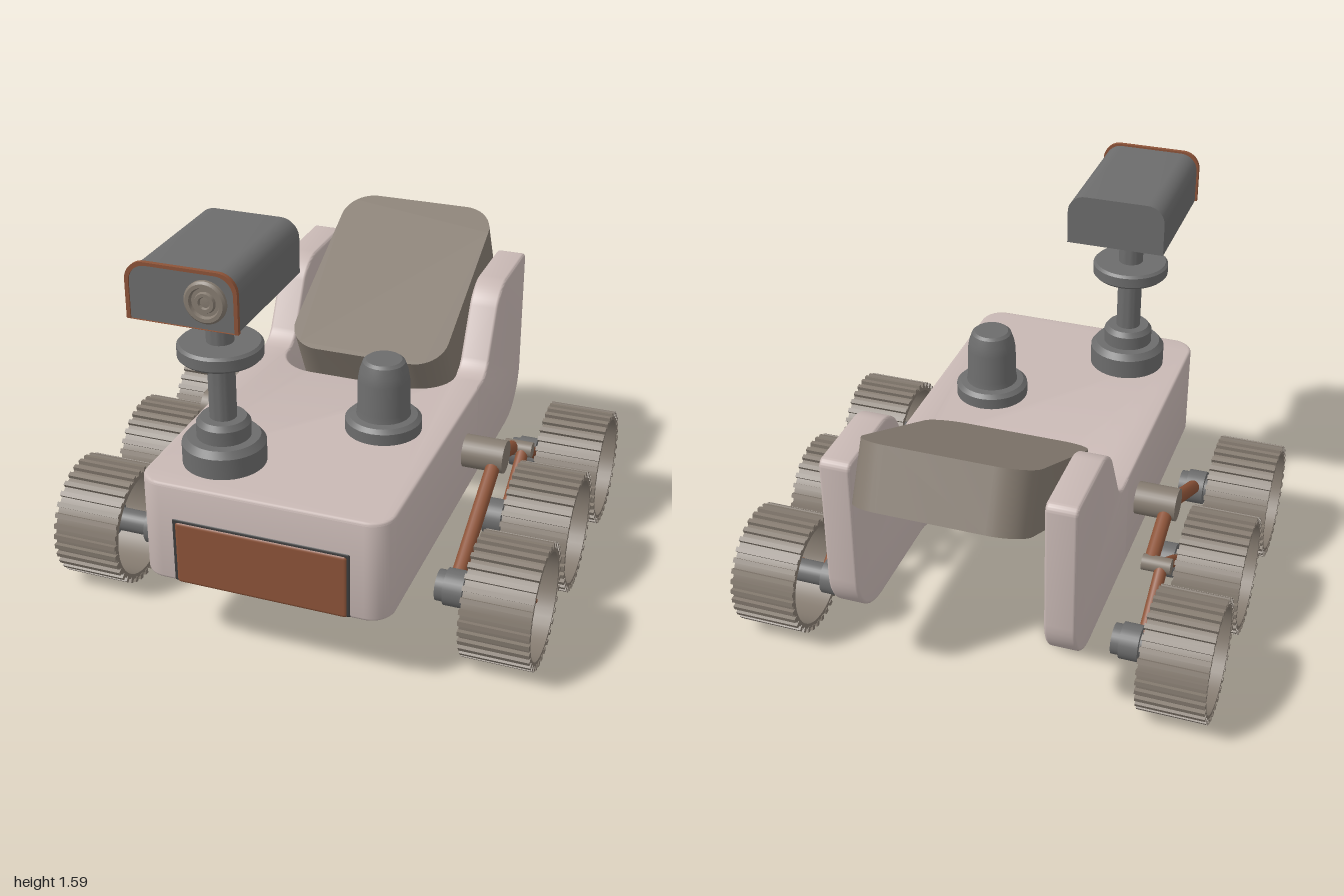
import * as THREE from 'three';
import { toCreasedNormals } from 'three/addons/utils/BufferGeometryUtils.js';
import { RoundedBoxGeometry } from 'three/addons/geometries/RoundedBoxGeometry.js';

const mat = (color) => new THREE.MeshStandardMaterial({ color, side: THREE.DoubleSide });
const shell = mat(0xc8b8b4), grey = mat(0x6c6c6c), brown = mat(0x8c5338), taupe = mat(0x857b70), dark = mat(0x3c3c3c);
const V = (x, y, z) => new THREE.Vector3(x, y, z);

function add(parent, name, geometry, material, x = 0, y = 0, z = 0) {
  const mesh = new THREE.Mesh(geometry, material);
  mesh.name = name;
  mesh.position.set(x, y, z);
  parent.add(mesh);
  return mesh;
}

// Cylinder lying along x, between x0 and x1
const axial = (r, x0, x1, y, z, seg = 32) =>
  new THREE.CylinderGeometry(r, r, Math.abs(x1 - x0), seg).rotateZ(Math.PI / 2).translate((x0 + x1) / 2, y, z);

// Closed polygon whose corners [x, y, radius] are rounded
function roundedShape(points) {
  const shape = new THREE.Shape();
  const n = points.length;
  points.forEach(([x, y, r], i) => {
    const p = new THREE.Vector2(x, y);
    const toward = (q) => new THREE.Vector2(q[0], q[1]).sub(p).normalize().multiplyScalar(r).add(p);
    const a = toward(points[(i + n - 1) % n]), b = toward(points[(i + 1) % n]);
    if (i === 0) shape.moveTo(a.x, a.y); else shape.lineTo(a.x, a.y);
    if (r > 0) shape.bezierCurveTo(
      a.x + (x - a.x) * 0.55, a.y + (y - a.y) * 0.55,
      b.x + (x - b.x) * 0.55, b.y + (y - b.y) * 0.55, b.x, b.y);
  });
  shape.closePath();
  return shape;
}

// Extrusion of exact total depth, with an inward bevel
function extrude(shape, depth, bevel = 0) {
  const g = new THREE.ExtrudeGeometry(shape, {
    depth: depth - 2 * bevel, curveSegments: 10, bevelEnabled: bevel > 0,
    bevelSize: bevel, bevelThickness: bevel, bevelOffset: -bevel, bevelSegments: 3,
  });
  return toCreasedNormals(g.translate(0, 0, bevel), 0.6);
}

const lathe = (points) =>
  toCreasedNormals(new THREE.LatheGeometry(points.map(([r, y]) => new THREE.Vector2(r, y)), 40), 0.5);

function rod(parent, name, a, b, r) {
  add(parent, name, new THREE.TubeGeometry(new THREE.LineCurve3(a, b), 1, r, 14), brown);
}

function buildBody() {
  const body = new THREE.Group();
  body.name = 'body';
  // Hull in plan, with the rounded bay at the rear
  const plan = roundedShape([
    [-0.48, -0.94, 0.09], [0.48, -0.94, 0.09], [0.48, 0.3, 0], [0.36, 0.3, 0],
    [0.36, 0.07, 0.16], [-0.36, 0.07, 0.16], [-0.36, 0.3, 0], [-0.48, 0.3, 0],
  ]);
  add(body, 'hull', extrude(plan, 0.405, 0.012).rotateX(-Math.PI / 2), shell, 0, 0.315, 0);
  // Raised rear side walls
  const side = roundedShape([
    [-0.15, 0.315, 0], [-0.15, 0.72, 0], [-0.28, 0.72, 0.06], [-0.45, 1.04, 0.09],
    [-0.85, 1.04, 0.03], [-0.85, 0.315, 0.2],
  ]);
  for (const s of [-1, 1])
    add(body, 'rearWall', extrude(side, 0.12, 0.012).rotateY(-Math.PI / 2), shell, s > 0 ? 0.48 : -0.36);
  // Front hatch in a dark surround
  add(body, 'hatchSurround', new RoundedBoxGeometry(0.69, 0.27, 0.03, 3, 0.012), dark, 0, 0.45, 0.928);
  add(body, 'frontHatch', new RoundedBoxGeometry(0.665, 0.26, 0.06, 3, 0.015), brown, 0, 0.443, 0.918);
  return body;
}

function buildRearPod() {
  const pod = roundedShape([
    [-0.33, -0.436, 0.13], [0.33, -0.436, 0.13], [0.33, 0.436, 0.13], [-0.33, 0.436, 0.13],
  ]);
  const g = extrude(pod, 0.237).translate(0, 0, -0.1185).rotateX(-Math.PI / 2);
  const mesh = new THREE.Mesh(g, taupe);
  mesh.name = 'rearPod';
  mesh.position.set(0, 0.89, -0.555);
  mesh.rotation.x = Math.atan2(0.39, 0.78);
  return mesh;
}

function buildMast() {
  const mast = new THREE.Group();
  mast.name = 'cameraMast';
  add(mast, 'mastPost', lathe([
    [0, 0.7], [0.155, 0.7], [0.155, 0.8], [0.135, 0.825], [0.1, 0.825], [0.1, 0.88], [0.085, 0.9],
    [0.05, 0.9], [0.05, 1.14], [0.145, 1.14], [0.155, 1.15], [0.155, 1.19], [0.145, 1.2],
    [0.05, 1.2], [0.05, 1.345], [0.075, 1.355], [0.09, 1.365], [0.09, 1.385], [0, 1.385],
  ]), grey, -0.235, 0, 0.7);
  // Camera head: rounded on top, square below
  const outline = (d) => [[-0.2 - d, 1.378, 0], [0.2 + d, 1.378, 0], [0.2 + d, 1.585 + d, 0.07], [-0.2 - d, 1.585 + d, 0.07]];
  add(mast, 'cameraHead', extrude(roundedShape(outline(-0.004)), 0.55), grey, -0.235, 0, 0.43);
  const rim = roundedShape(outline(0.004));
  rim.holes.push(roundedShape([[-0.19, 1.379, 0], [0.19, 1.379, 0], [0.19, 1.577, 0.065], [-0.19, 1.577, 0.065]]));
  add(mast, 'cameraRim', extrude(rim, 0.016), brown, -0.235, 0, 0.97);
  add(mast, 'lens', lathe([
    [0, -0.02], [0.076, -0.02], [0.076, 0.012], [0.068, 0.02], [0.055, 0.02], [0.05, 0.008],
    [0.038, 0.008], [0.034, 0.018], [0.022, 0.018], [0.018, 0.01], [0, 0.012],
  ]).rotateX(Math.PI / 2), taupe, -0.145, 1.48, 0.98);
  return mast;
}

function buildWheel(s, z) {
  const wheel = new THREE.Group();
  wheel.name = 'wheel';
  wheel.position.set(s * 0.818, 0.243, z);
  // Open drum
  const drum = [[0.205, -0.13], [0.225, -0.13], [0.225, 0.13], [0.205, 0.13], [0.205, -0.13]];
  add(wheel, 'rim', lathe(drum).rotateZ(Math.PI / 2), taupe);
  // Cross treads
  const treads = 34;
  for (let i = 0; i < treads; i++) {
    const tread = add(wheel, 'tread', new THREE.BoxGeometry(0.266, 0.022, 0.019).translate(0, 0.229, 0), taupe);
    tread.rotation.x = (i / treads) * Math.PI * 2;
  }
  // Bowed spokes
  const bow = new THREE.QuadraticBezierCurve3(V(s * 0.01, 0.04, 0), V(s * 0.12, 0.13, 0), V(s * 0.02, 0.212, 0));
  for (let i = 0; i < 6; i++) {
    const spoke = add(wheel, 'spoke', new THREE.TubeGeometry(bow, 12, 0.01, 8), brown);
    spoke.rotation.x = (i / 6) * Math.PI * 2;
  }
  add(wheel, 'hub', axial(0.07, -s * 0.02, s * 0.045, 0, 0), grey);
  add(wheel, 'hubCap', axial(0.055, s * 0.04, s * 0.055, 0, 0), dark);
  return wheel;
}

function buildSuspension(s) {
  const side = new THREE.Group();
  side.name = s > 0 ? 'leftSuspension' : 'rightSuspension';
  const rockerX = s * 0.606, bogieX = s * 0.652;
  const joint = [0.42, -0.265];
  add(side, 'mainPivot', axial(0.066, s * 0.45, s * 0.645, 0.522, 0), taupe);
  add(side, 'bogiePivot', axial(0.032, s * 0.575, s * 0.69, ...joint), taupe);
  rod(side, 'rockerFront', V(rockerX, 0.52, 0), V(rockerX, 0.25, 0.535), 0.029);
  rod(side, 'rockerRear', V(rockerX, 0.52, 0), V(rockerX, ...joint), 0.029);
  rod(side, 'bogieMiddle', V(bogieX, ...joint), V(bogieX, 0.25, 0), 0.025);
  rod(side, 'bogieRear', V(bogieX, ...joint), V(bogieX, 0.25, -0.535), 0.025);
  for (const z of [0.535, 0, -0.535]) {
    // Drive motor and axle
    add(side, 'motor', axial(0.071, s * 0.575, s * 0.65, 0.245, z), grey);
    add(side, 'motorCap', axial(0.06, s * 0.542, s * 0.58, 0.245, z), grey);
    add(side, 'axle', axial(0.046, s * 0.64, s * 0.81, 0.245, z), grey);
    side.add(buildWheel(s, z));
  }
  return side;
}

export function createModel() {
  const model = new THREE.Group();
  model.name = 'rover';
  model.add(buildBody(), buildRearPod(), buildMast(), buildSuspension(1), buildSuspension(-1));
  // Domed canister on the deck
  add(model, 'deckCanister', lathe([
    [0, 0.7], [0.146, 0.7], [0.146, 0.765], [0.13, 0.78], [0.104, 0.785], [0.1, 0.81],
    [0.098, 0.93], [0.092, 0.965], [0.08, 1.0], [0.068, 1.01], [0, 1.012],
  ]), grey, 0.23, 0, 0.275);
  return model;
}
